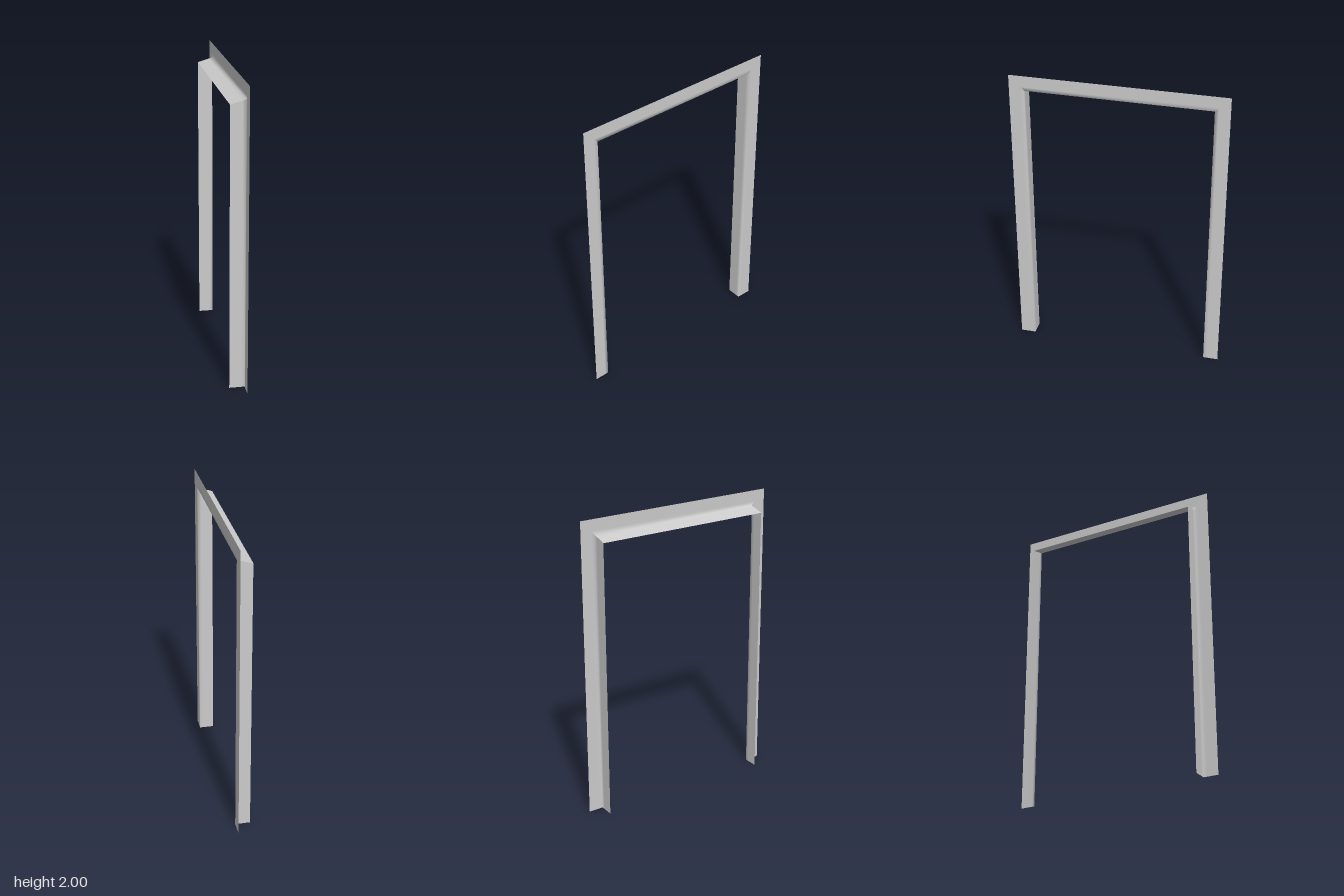
import * as THREE from 'three';

const HALF = 0.61;   // half width of the opening
const HEAD = 1.9;    // height of the opening
const DROP = 0.03;   // fall of the head's sloping leaf

// Angle section: [distance outward from the opening, depth x, fall factor],
// with support points close to the bend so the shading stays tight there
const SECTION = [
  [0.1, 0.05, 0],
  [0.025, 0.05, 0],
  [0, 0.05, 0],
  [0, 0.025, 0.25],
  [0, -0.05, 1],
];

// Sheet strip spanning from one end's section to the other's
function strip(name, startAt, endAt, material) {
  const positions = [];
  const indices = [];
  SECTION.forEach(([out, x, fall], i) => {
    positions.push(...startAt(out, x, fall), ...endAt(out, x, fall));
    if (i > 0) {
      const a = 2 * (i - 1);
      indices.push(a, a + 1, a + 3, a, a + 3, a + 2);
    }
  });
  const geometry = new THREE.BufferGeometry();
  geometry.setAttribute('position', new THREE.Float32BufferAttribute(positions, 3));
  geometry.setIndex(indices);
  geometry.computeVertexNormals();
  const mesh = new THREE.Mesh(geometry, material);
  mesh.name = name;
  return mesh;
}

export function createModel() {
  const group = new THREE.Group();
  group.name = 'doorFrame';
  const material = new THREE.MeshStandardMaterial({ color: 0xcccccc, side: THREE.DoubleSide });

  // Ends of the members: foot on the ground, mitre at the upper corner
  const foot = (s) => (out, x) => [x, 0, s * (HALF + out)];
  const mitre = (s) => (out, x, fall) => [x, HEAD + out - DROP * fall, s * (HALF + out)];

  // Upright jambs and the head joining them
  group.add(strip('frontJamb', foot(1), mitre(1), material));
  group.add(strip('head', mitre(1), mitre(-1), material));
  group.add(strip('backJamb', mitre(-1), foot(-1), material));
  return group;
}
